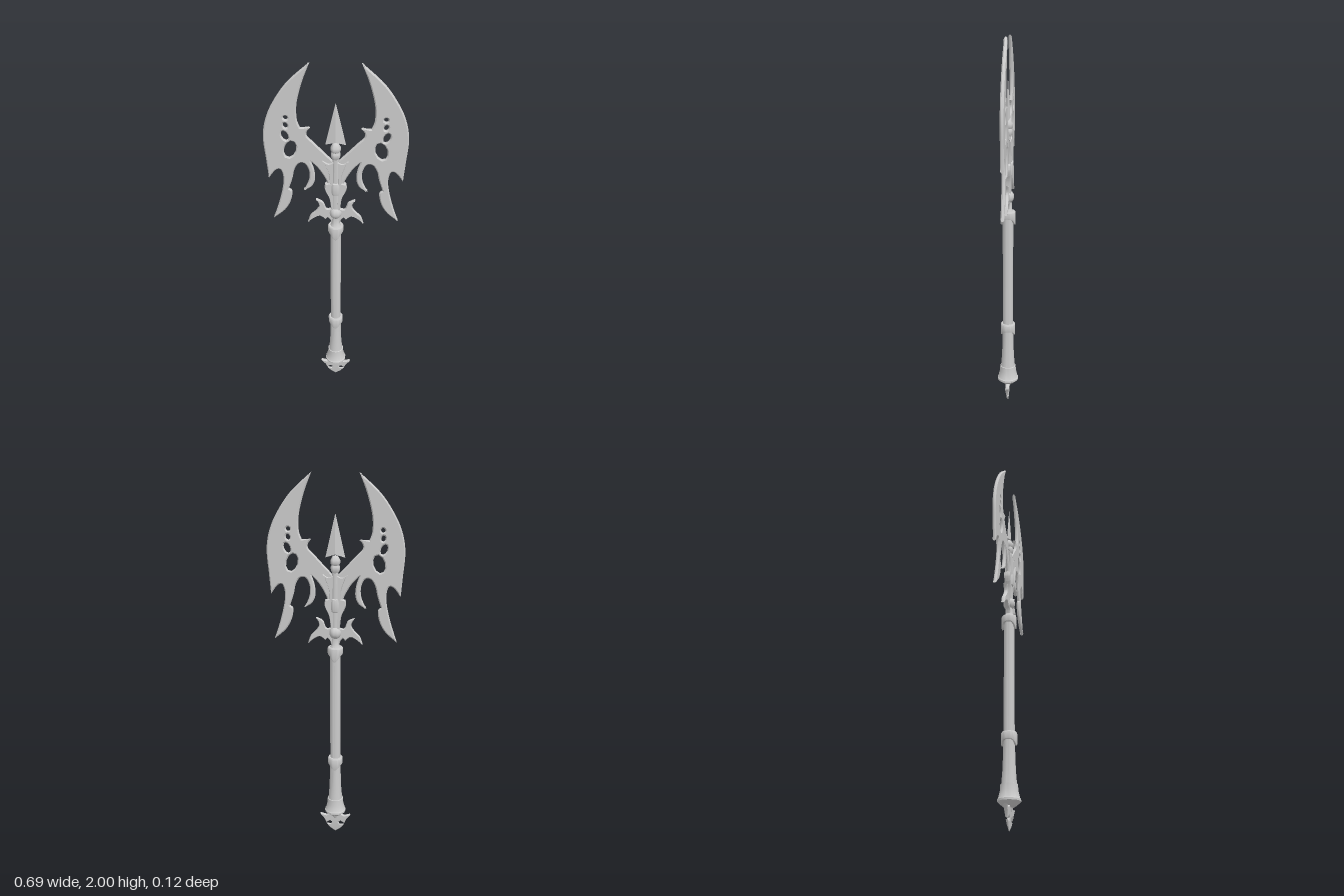
import * as THREE from 'three';
import { toCreasedNormals } from 'three/addons/utils/BufferGeometryUtils.js';

const mat = new THREE.MeshStandardMaterial({ color: 0xcccccc, side: THREE.DoubleSide });
const V = (p) => new THREE.Vector2(p[0], p[1]);

function add(parent, name, geo, crease = 0.6) {
  const mesh = new THREE.Mesh(toCreasedNormals(geo, crease), mat);
  mesh.name = name;
  parent.add(mesh);
  return mesh;
}

// Closed outline from runs: each run is a smooth curve, run joints are sharp corners
function outline(start, runs) {
  const s = new THREE.Shape();
  s.moveTo(...start);
  for (const run of runs) {
    if (run.length === 1) s.lineTo(...run[0]);
    else s.splineThru(run.map(V));
  }
  return s;
}

// Flat plate centred on z = 0 with bevelled edges kept inside the outline
function plate(shape, half, bevel) {
  const depth = half * 0.7;
  const geo = new THREE.ExtrudeGeometry(shape, {
    depth, curveSegments: 5, bevelEnabled: true, bevelSegments: 1,
    bevelThickness: half - depth / 2, bevelSize: bevel, bevelOffset: -bevel,
  });
  return geo.translate(0, 0, -depth / 2);
}

// The same plate on both sides of the haft
function pair(parent, name, shape, half, bevel) {
  const geo = plate(shape, half, bevel);
  add(parent, 'left' + name, geo);
  add(parent, 'right' + name, geo).rotation.y = Math.PI;
}

const lathe = (pts, seg = 18) => new THREE.LatheGeometry(pts.map(V), seg);

// Collar whose lower rim hangs down in a point at front and back
function dripCollar(top, bottom, drop, r) {
  const geo = lathe([[r - 0.012, bottom], [r - 0.002, bottom], [r, bottom + 0.006],
    [r, top - 0.006], [r - 0.004, top], [0.02, top]], 32);
  const p = geo.attributes.position;
  for (let i = 0; i < p.count; i++) {
    if (p.getY(i) > bottom + 0.01) continue;
    const c = Math.abs(p.getZ(i)) / Math.hypot(p.getX(i), p.getZ(i));
    p.setY(i, p.getY(i) - drop * c ** 5);
  }
  geo.computeVertexNormals();
  return geo;
}

function bladeShape() {
  const s = outline([0.116, 2.0], [
    // inner edge, spur and arm top
    [[0.153, 1.905], [0.18, 1.80], [0.182, 1.72], [0.168, 1.677]],
    [[0.12, 1.677]],
    [[0.137, 1.655], [0.135, 1.63], [0.106, 1.6], [0.06, 1.55], [0.012, 1.5]],
    [[0.012, 1.33]],
    // arm underside
    [[0.03, 1.335]],
    [[0.048, 1.395], [0.083, 1.455], [0.122, 1.497]],
    // hooked claw
    [[0.106, 1.45], [0.102, 1.395], [0.12, 1.352], [0.159, 1.328]],
    [[0.133, 1.385], [0.13, 1.44], [0.15, 1.482], [0.18, 1.482], [0.202, 1.447], [0.214, 1.395], [0.233, 1.337]],
    // long lower spike
    [[0.217, 1.318], [0.228, 1.26], [0.26, 1.205], [0.318, 1.155]],
    [[0.285, 1.255], [0.264, 1.34], [0.258, 1.4], [0.27, 1.445], [0.296, 1.44], [0.33, 1.395]],
    // outer cutting edge
    [[0.338, 1.5], [0.346, 1.62], [0.33, 1.715], [0.29, 1.805], [0.22, 1.905], [0.116, 2.0]],
  ]);
  // pierced holes, growing toward the bottom
  for (const [x, y, rx, ry, tilt] of [
    [0.235, 1.727, 0.011, 0.011, 0], [0.237, 1.687, 0.011, 0.015, -0.3],
    [0.242, 1.633, 0.016, 0.027, -0.4], [0.219, 1.56, 0.029, 0.047, 0.3]]) {
    s.holes.push(new THREE.Path().absellipse(x, y, rx, ry, 0, Math.PI * 2, true, tilt));
  }
  return s;
}

export function createModel() {
  const g = new THREE.Group();
  g.name = 'doubleAxe';

  // Twin blades
  pair(g, 'Blade', bladeShape(), 0.009, 0.006);

  // Upswept brackets clasping the blade arms
  pair(g, 'UpperBracket', outline([0.062, 1.507], [
    [[0.035, 1.49], [0.01, 1.5]],
    [[0.01, 1.31]],
    [[0.045, 1.315]],
    [[0.055, 1.345], [0.052, 1.372]],
    [[0.03, 1.378]],
    [[0.034, 1.43], [0.062, 1.507]],
  ]), 0.016, 0.004);

  // Tapered struts under the collar
  pair(g, 'LowerBracket', outline([0.01, 1.32], [
    [[0.046, 1.32]],
    [[0.03, 1.28], [0.022, 1.21]],
    [[0.008, 1.19]],
  ]), 0.016, 0.003);

  // Small winged guard
  pair(g, 'Guard', outline([0.1, 1.277], [
    [[0.065, 1.262], [0.047, 1.222], [0.02, 1.225]],
    [[0.0, 1.25]],
    [[0.0, 1.11]],
    [[0.016, 1.115]],
    [[0.026, 1.15], [0.04, 1.168]],
    [[0.052, 1.155]],
    [[0.078, 1.175], [0.105, 1.165], [0.143, 1.135]],
    [[0.128, 1.178], [0.1, 1.208], [0.083, 1.24], [0.1, 1.277]],
  ]), 0.01, 0.004);

  // Spearhead: four-sided point with swept-back barbs
  const spear = new THREE.Group();
  spear.name = 'spearhead';
  const head = new THREE.CylinderGeometry(0.001, 0.05, 0.215, 4, 1);
  head.scale(1, 1, 0.24).translate(0, 1.695, 0);
  const hp = head.attributes.position;
  for (let i = 0; i < hp.count; i++) {
    if (hp.getY(i) < 1.6 && Math.abs(hp.getX(i)) < 0.01) hp.setY(i, 1.605);
  }
  add(spear, 'point', head, 0.2);
  add(spear, 'neck', lathe([[0.012, 1.505], [0.022, 1.522], [0.024, 1.54], [0.019, 1.55],
    [0.025, 1.56], [0.025, 1.575], [0.014, 1.595], [0, 1.6]]), 0.8);
  g.add(spear);

  // Rod through the head, with collar and ball
  add(g, 'headRod', new THREE.CylinderGeometry(0.016, 0.018, 0.45, 16).translate(0, 1.315, 0));
  add(g, 'headCollar', lathe([[0.014, 1.305], [0.023, 1.31], [0.026, 1.325], [0.026, 1.36],
    [0.023, 1.375], [0.014, 1.38]]));
  add(g, 'guardBall', new THREE.SphereGeometry(0.032, 18, 12).scale(1, 1.08, 1).translate(0, 1.197, 0), 1);
  add(g, 'headBase', lathe([[0.03, 1.11], [0.025, 1.125], [0.02, 1.135], [0.02, 1.165]]));

  // Haft and collars
  add(g, 'haft', new THREE.CylinderGeometry(0.028, 0.028, 0.65, 18).translate(0, 0.775, 0));
  add(g, 'topCollar', dripCollar(1.12, 1.08, 0.035, 0.04));
  add(g, 'gripCollar', dripCollar(0.48, 0.438, 0.028, 0.04));

  // Flared grip and pommel
  add(g, 'grip', lathe([[0.029, 0.46], [0.03, 0.38], [0.033, 0.29], [0.039, 0.215]]));
  add(g, 'pommel', lathe([[0.036, 0.222], [0.043, 0.22], [0.045, 0.19], [0.054, 0.152],
    [0.058, 0.148], [0.058, 0.138], [0.035, 0.118], [0.018, 0.108], [0.011, 0.09], [0, 0.085]]));

  // Flat finial, thinning toward its tip
  const side = [[0.03, 0.022], [0.05, 0.048], [0.024, 0.047], [0.018, 0.06], [0.03, 0.07],
    [0.052, 0.055], [0.062, 0.08], [0.086, 0.114], [0.05, 0.106], [0.028, 0.12]];
  const finial = new THREE.Shape([[0, 0], ...side,
    ...side.map(([x, y]) => [-x, y]).reverse()].map(V));
  const fin = plate(finial, 0.01, 0.003);
  const fp = fin.attributes.position;
  for (let i = 0; i < fp.count; i++) {
    fp.setZ(i, fp.getZ(i) * Math.min(1, 0.2 + fp.getY(i) * 8));
  }
  add(g, 'finial', fin, 0.4);

  return g;
}
